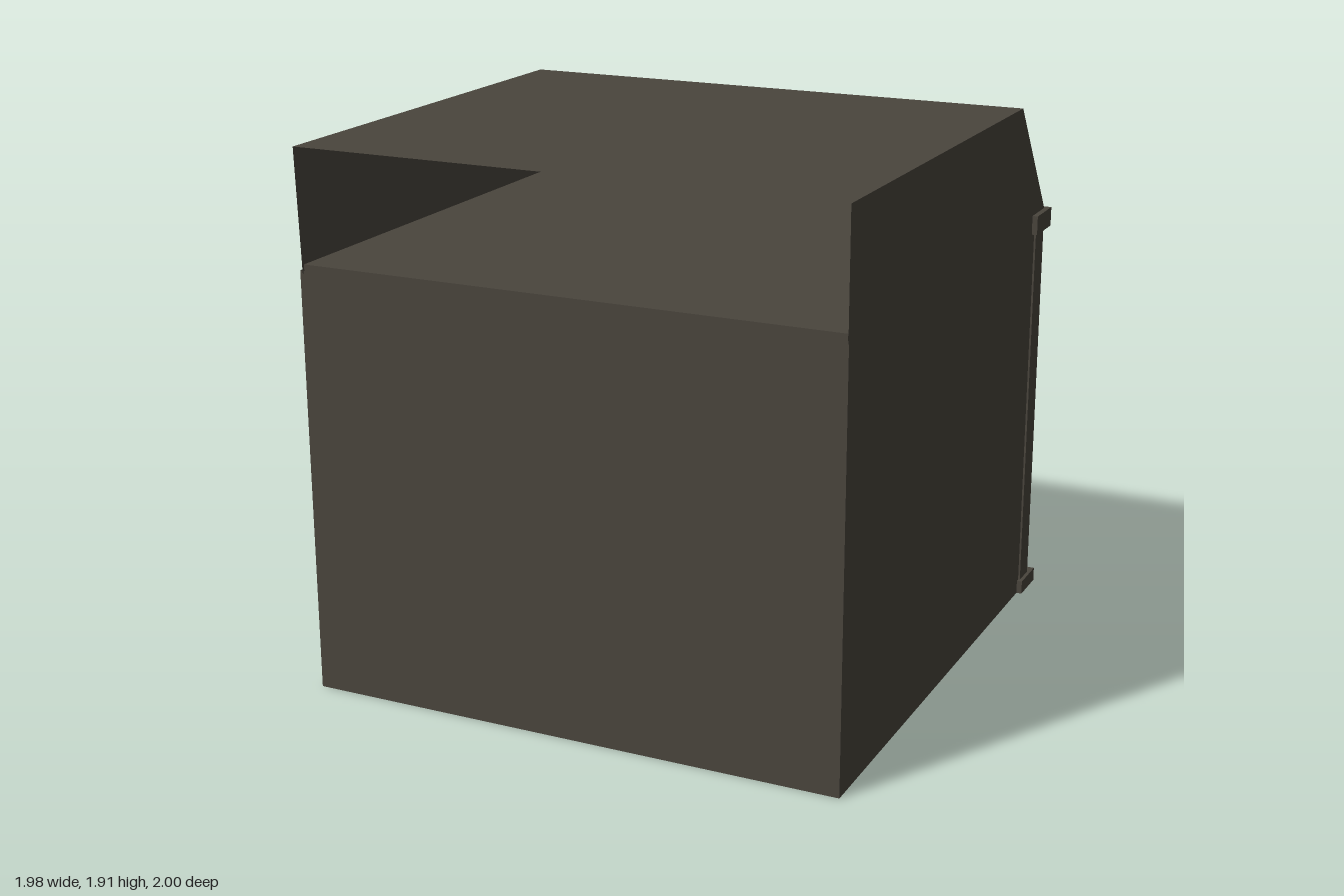
import * as THREE from 'three';

const wall = new THREE.MeshStandardMaterial({ color: 0x4a453d, side: THREE.DoubleSide });
wall.name = 'weathered brown grey';

export function createModel() {
  const model = new THREE.Group();
  model.name = 'shopBuilding';

  const add = (name, geometry, parent = model) => {
    const mesh = new THREE.Mesh(geometry, wall);
    mesh.name = name;
    parent.add(mesh);
    return mesh;
  };

  // Box given by its limits on each axis
  const box = (name, x0, x1, y0, y1, z0, z1, parent) => {
    const mesh = add(name, new THREE.BoxGeometry(x1 - x0, y1 - y0, z1 - z0), parent);
    mesh.position.set((x0 + x1) / 2, (y0 + y1) / 2, (z0 + z1) / 2);
    return mesh;
  };

  // Flat four-cornered sheet, corners counter-clockwise from outside
  const sheet = (name, a, b, c, d, parent) => {
    const g = new THREE.BufferGeometry();
    g.setAttribute('position', new THREE.Float32BufferAttribute([...a, ...b, ...c, ...d], 3));
    g.setIndex([0, 1, 2, 0, 2, 3]);
    g.computeVertexNormals();
    return add(name, g, parent);
  };

  // Open-bottomed body
  const W = 0.97, H = 1.5, F = 0.995, B = -0.93;
  sheet('frontWall', [-W, 0, F], [W, 0, F], [W, H, F], [-W, H, F]);
  sheet('leftWall', [W, 0, F], [W, 0, -0.87], [W, H, -0.87], [W, H, F]);
  sheet('rightWall', [-W, 0, B], [-W, 0, F], [-W, H, F], [-W, H, B]);
  box('atticFloor', -0.965, 0.965, 1.49, 1.52, -0.9, 0.99);

  // Roof shell, open at the front, with its right side leaning in
  const roof = new THREE.Group();
  roof.name = 'roof';
  model.add(roof);
  const T = 1.915, E = 1.49, ridge = -0.655, eave = -0.975, lean = -0.957;
  sheet('roofTop', [-W, T, 1], [W, T, 1], [W, T, ridge], [-W, T, ridge], roof);
  sheet('roofSlope', [W, E, eave], [-W, E, eave], [-W, T, ridge], [W, T, ridge], roof);
  sheet('roofLeftSide', [W, E, 1], [W, E, eave], [W, T, ridge], [W, T, 1], roof);
  sheet('roofRightSide', [lean, E, eave], [lean, E, 1], [-W, T, 1], [-W, T, ridge], roof);

  // Shop face with a doorway cut through it
  const face = new THREE.Shape();
  face.moveTo(-W, 0).lineTo(W, 0).lineTo(W, H).lineTo(-W, H).closePath();
  const doorway = new THREE.Path();
  doorway.moveTo(0.44, 0.04).lineTo(0.44, 1.08).lineTo(0.92, 1.08).lineTo(0.92, 0.04).closePath();
  face.holes.push(doorway);
  add('shopFace', new THREE.ExtrudeGeometry(face, { depth: 0.035, bevelEnabled: false }))
    .position.z = B - 0.005;
  box('door', 0.42, 0.94, 0.03, 1.1, -0.905, -0.895);

  // Door surround
  box('doorPilaster', 0.92, 0.977, 0.05, 1.43, -0.953, -0.86);
  box('doorPilaster', 0.38, 0.44, 0.05, 1.43, -0.953, -0.9);
  box('doorStep', 0.345, 0.99, 0, 0.05, -1, -0.845);

  // Vent above the door
  const vent = new THREE.Group();
  vent.name = 'vent';
  model.add(vent);
  for (const y of [1.17, 1.288]) box('ventRail', 0.6, 0.745, y, y + 0.012, -0.95, -0.93, vent);
  for (const x of [0.6, 0.733]) box('ventStile', x, x + 0.012, 1.17, 1.3, -0.95, -0.93, vent);
  for (let i = 0; i < 5; i++) {
    const y = 1.19 + i * 0.02;
    box('ventSlat', 0.612, 0.733, y, y + 0.008, -0.946, -0.93, vent).rotation.x = 0.4;
  }

  // Cornice across the shop face
  box('cornice', -0.976, 0.99, 1.42, 1.49, -1, -0.83);

  // Low wall and ledge under the window, wrapping the corner
  box('stallRiser', -0.976, 0.38, 0, 0.34, -0.945, -0.82);
  box('windowLedge', -0.99, 0.38, 0.34, 0.41, -0.965, -0.82);

  // Boards covering the window
  box('cornerPost', -0.972, -0.89, 0.41, 1.42, -0.946, -0.9);
  box('windowBoard', 0.19, 0.38, 0.86, 1.42, -0.941, B);
  box('windowBoard', -0.18, 0.19, 0.41, 0.88, -0.943, B);
  box('windowBoard', -0.89, -0.18, 0.41, 1.11, -0.947, B);
  box('windowBatten', 0.025, 0.05, 1.16, 1.42, -0.955, B);

  // Loose tilted board hanging over the window
  const board = new THREE.Shape();
  board.moveTo(-0.835, 0).lineTo(-0.015, 0).lineTo(0.025, 0.43).lineTo(-0.8, 0.43).closePath();
  const hanging = add('hangingBoard', new THREE.ExtrudeGeometry(board, { depth: 0.012, bevelEnabled: false }));
  hanging.position.set(0, 0.98, -0.966);
  hanging.rotation.x = -0.03;

  return model;
}
